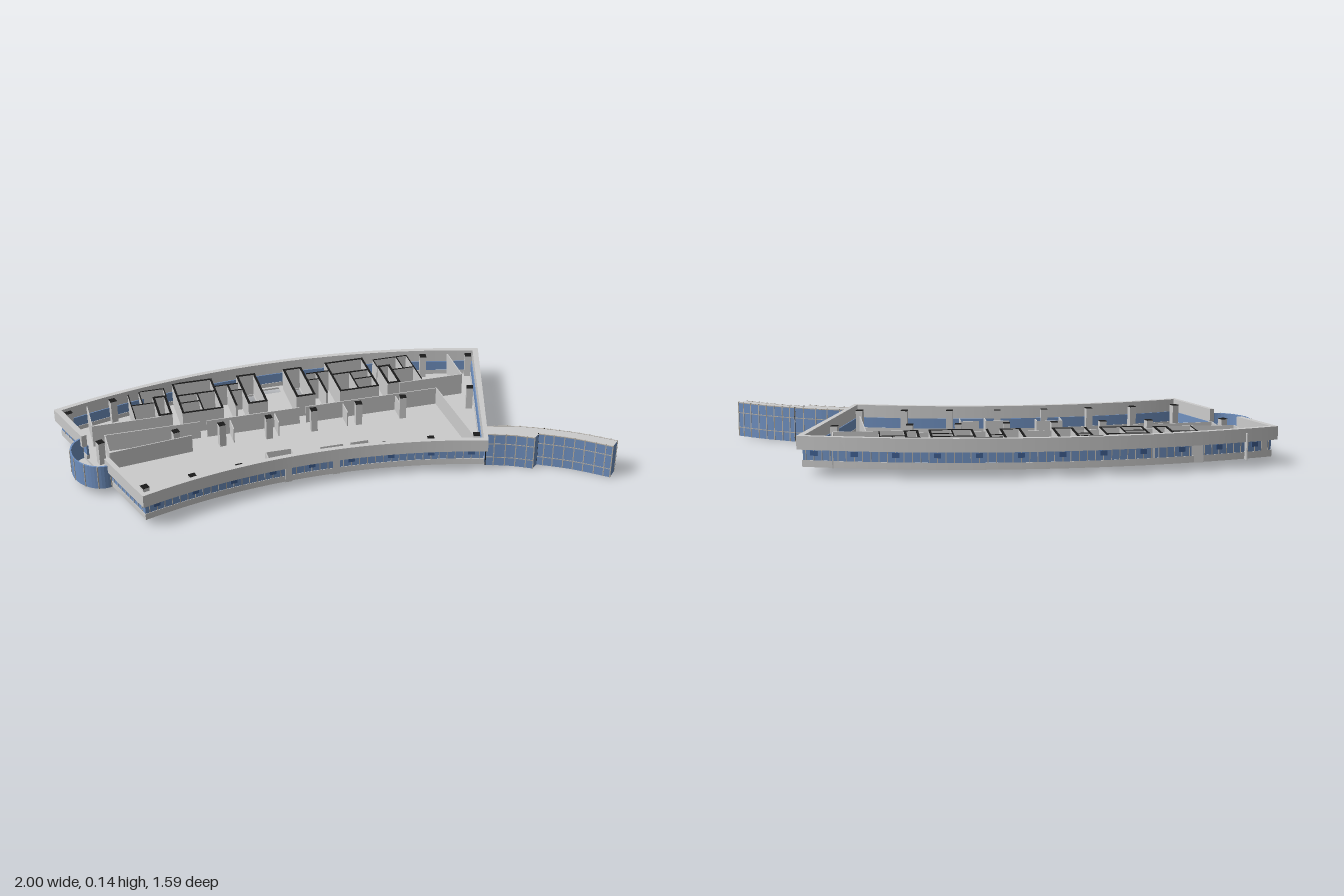
import * as THREE from 'three';

const mat = (color) => new THREE.MeshStandardMaterial({ color });
const grey = mat(0xcccccc), glass = mat(0x6f90c0), darkGlass = mat(0x3f5f92);
const black = mat(0x1a1a1a), frame = mat(0xb5b0a8), tan = mat(0xb8aea0), lilac = mat(0xd2c8d2);

// Plan coordinates (u, v): v points to the outer arc, which is concentric with the inner one.
const CU = -0.115, CV = -2.342, R0 = 2.14, R1 = 2.87;
const A0 = 72.9 * Math.PI / 180, A1 = 108.8 * Math.PI / 180;
const MID = -0.155;
const polar = (r, a) => new THREE.Vector2(CU + r * Math.cos(a), CV + r * Math.sin(a));

function sector(r0, r1, a0, a1) {
  const s = new THREE.Shape();
  s.absarc(CU, CV, r1, a0, a1, false);
  s.absarc(CU, CV, r0, a1, a0, true);
  s.closePath();
  return s;
}

// Plan shape extruded from height y0 to y1
function slab(parent, name, shape, y0, y1, material, segments = 40) {
  const g = new THREE.ExtrudeGeometry(shape, { depth: y1 - y0, bevelEnabled: false, curveSegments: segments });
  g.rotateX(-Math.PI / 2).translate(0, y0, 0);
  const m = new THREE.Mesh(g, material);
  m.name = name;
  parent.add(m);
  return m;
}

function box(parent, name, u, v, y0, y1, w, d, angle, material) {
  const m = new THREE.Mesh(new THREE.BoxGeometry(w, y1 - y0, d), material);
  m.position.set(u, (y0 + y1) / 2, -v);
  m.rotation.y = angle;
  m.name = name;
  parent.add(m);
}

// Straight wall between two plan points, with a dark cut top when it is structural
function wall(parent, name, u0, v0, u1, v1, t, top, capped) {
  const len = Math.hypot(u1 - u0, v1 - v0) + t, a = Math.atan2(v1 - v0, u1 - u0);
  const u = (u0 + u1) / 2, v = (v0 + v1) / 2;
  box(parent, name, u, v, 0.03, top, len, t, a, grey);
  if (capped) box(parent, name + 'Top', u, v, top, top + 0.002, len, t, a, black);
}

function room(parent, name, u0, u1, v0, v1, t) {
  wall(parent, name, u0, v0, u1, v0, t, 0.128, true);
  wall(parent, name, u0, v1, u1, v1, t, 0.128, true);
  wall(parent, name, u0, v0, u0, v1, t, 0.128, true);
  wall(parent, name, u1, v0, u1, v1, t, 0.128, true);
}

function rect(u0, u1, v0, v1, C = THREE.Shape) {
  return new C([[u0, v0], [u1, v0], [u1, v1], [u0, v1]].map((p) => new THREE.Vector2(...p)));
}

// Ring of walls, left open where the bay joins
function perimeter(parent, name, inset, t, y0, y1, material) {
  const r0 = R0 + inset, r1 = R1 - inset, da = inset / 2.5, ta = t / 2.5;
  const a0 = A0 + da, a1 = A1 - da;
  slab(parent, name, sector(r1 - t, r1, a0, a1), y0, y1, material);
  slab(parent, name, sector(r0, r0 + t, a0, a1), y0, y1, material);
  slab(parent, name, sector(r0 + t, r1 - t, a0, a0 + ta), y0, y1, material, 2);
  slab(parent, name, sector(r0 + t, 2.44, a1 - ta, a1), y0, y1, material, 2);
  slab(parent, name, sector(2.63, r1 - t, a1 - ta, a1), y0, y1, material, 2);
}

function facade(g) {
  perimeter(g, 'sill', 0.014, 0.012, 0.03, 0.055, grey);
  perimeter(g, 'glazing', 0.016, 0.008, 0.055, 0.095, glass);
  perimeter(g, 'parapet', 0, 0.02, 0.095, 0.145, grey);
  // mullions and vents along both arcs
  for (const [r, n] of [[R1 - 0.016, 60], [R0 + 0.016, 44]]) {
    for (let i = 1; i < n; i++) {
      const a = A0 + (A1 - A0) * i / n, p = polar(r, a);
      box(g, 'mullion', p.x, p.y, 0.055, 0.095, 0.003, 0.004, a - Math.PI / 2, frame);
      if (i % 5 === 2) box(g, 'vent', p.x, p.y, 0.072, 0.09, 0.026, 0.005, a - Math.PI / 2, darkGlass);
    }
  }
  // mullions and vents on the two straight ends
  for (const a of [A0 + 0.0064, A1 - 0.0064]) {
    for (let r = R0 + 0.04, i = 0; r < R1 - 0.02; r += 0.032, i++) {
      if (a > 1.6 && r > 2.43 && r < 2.64) continue;
      const p = polar(r, a);
      box(g, 'mullion', p.x, p.y, 0.055, 0.095, 0.004, 0.003, a, frame);
      if (i % 5 === 2) box(g, 'vent', p.x, p.y, 0.072, 0.09, 0.026, 0.005, a, darkGlass);
    }
  }
}

// Half-oval glazed bay on the left end
function bay(g) {
  const c = polar(2.535, A1 - 0.004), n = 24;
  const at = (k, t) => new THREE.Vector2(
    c.x + k * (0.118 * Math.cos(t) * Math.cos(A1) - 0.09 * Math.sin(t) * Math.sin(A1)),
    c.y + k * (0.118 * Math.cos(t) * Math.sin(A1) + 0.09 * Math.sin(t) * Math.cos(A1)));
  const arc = (k) => Array.from({ length: n + 1 }, (_, i) => at(k, Math.PI * i / n));
  slab(g, 'bayFloor', new THREE.Shape(arc(0.99)), 0.03, 0.037, grey);
  slab(g, 'bayGlazing', new THREE.Shape([...arc(1), ...arc(0.94).reverse()]), 0.03, 0.125, glass);
  for (let i = 0; i <= n; i += 4) {
    const p = at(1, Math.PI * i / n);
    box(g, 'bayMullion', p.x, p.y, 0.03, 0.126, 0.004, 0.004, A1, frame);
  }
}

function interior(g) {
  const mirror = (u) => 2 * MID - u;
  // floor with open shafts
  const floor = sector(R0 + 0.016, R1 - 0.016, A0 + 0.006, A1 - 0.006);
  const holes = [[0.095, 0.155, 0.25, 0.37], [0.17, 0.235, 0.25, 0.31], [0.17, 0.235, 0.325, 0.37],
    [-0.085, -0.03, 0.255, 0.46], [-0.005, 0.07, 0.42, 0.475]];
  for (const [a, b, c, d] of holes) {
    floor.holes.push(rect(a, b, c, d, THREE.Path), rect(mirror(b), mirror(a), c, d, THREE.Path));
  }
  floor.holes.push(rect(-0.2, -0.11, 0.45, 0.49, THREE.Path));
  slab(g, 'floor', floor, 0.03, 0.037, grey);

  // service cores, mirrored about the middle
  for (const f of [(u) => u, mirror]) {
    const w = (a, b, c, d, t, cap = true) => wall(g, 'coreWall', f(a), b, f(c), d, t, 0.128, cap);
    room(g, 'stairCore', f(0.087), f(0.243), 0.242, 0.475, 0.008);
    w(0.087, 0.378, 0.243, 0.378, 0.007);
    w(0.162, 0.242, 0.162, 0.378, 0.005);
    w(0.162, 0.318, 0.243, 0.318, 0.005);
    room(g, 'shaftCore', f(-0.092), f(-0.022), 0.246, 0.468, 0.009);
    w(-0.022, 0.36, 0.03, 0.36, 0.004);
    w(0.03, 0.246, 0.03, 0.41, 0.008);
    w(-0.01, 0.412, 0.085, 0.412, 0.005);
    room(g, 'liftCore', f(0.29), f(0.335), 0.25, 0.39, 0.009);
    w(0.285, 0.45, 0.43, 0.45, 0.004);
    w(0.43, 0.25, 0.43, 0.45, 0.004);
    w(0.335, 0.35, 0.43, 0.35, 0.004);
    w(0.385, 0.35, 0.385, 0.45, 0.004);
    w(0.285, 0.39, 0.285, 0.45, 0.004);
    w(0.6, 0.24, 0.6, 0.43, 0.004, false);
    w(0.335, 0.24, 0.6, 0.24, 0.004, false);
    slab(g, 'stairFloor', rect(...[f(0.09), f(0.24)].sort((a, b) => a - b), 0.38, 0.47), 0.036, 0.04, tan);
    slab(g, 'stairFlight', rect(...[f(0.12), f(0.21)].sort((a, b) => a - b), 0.41, 0.445), 0.04, 0.07, tan);
    slab(g, 'liftFloor', rect(...[f(0.294), f(0.331)].sort((a, b) => a - b), 0.255, 0.385), 0.036, 0.04, lilac);
    slab(g, 'washroomFloor', rect(...[f(0.34), f(0.428)].sort((a, b) => a - b), 0.3, 0.448), 0.036, 0.039, lilac);
  }

  // corridor partitions and meeting pods
  const partitions = [[-0.87, 0.19, -0.5, 0.19], [-0.47, 0.19, -0.1, 0.19], [-0.07, 0.19, 0.474, 0.19],
    [0.474, 0.19, 0.495, -0.2], [-0.87, 0.19, -0.87, 0.06], [-0.87, 0.06, -0.55, 0.1]];
  for (const p of partitions) wall(g, 'partition', ...p, 0.004, 0.11, false);
  const pods = [[-0.3, -0.08, -0.2, -0.08], [-0.3, -0.08, -0.3, -0.16], [-0.2, -0.08, -0.2, -0.13],
    [-0.09, -0.1, 0.0, -0.1], [0.0, -0.1, 0.0, -0.17], [0.03, -0.1, 0.1, -0.1], [0.1, -0.1, 0.1, -0.16],
    [-0.38, 0.12, -0.38, 0.19], [-0.2, 0.12, -0.2, 0.19], [0.08, 0.12, 0.08, 0.19], [0.3, 0.12, 0.3, 0.19]];
  for (const p of pods) wall(g, 'pod', ...p, 0.004, 0.1, false);

  // columns, placed by x and z
  const columns = [[0.21, -0.75], [0.05, -0.65], [0.33, -0.51], [0.13, -0.31], [0, -0.18], [-0.13, -0.05],
    [-0.255, 0.085], [-0.385, 0.22], [-0.51, 0.35], [-0.715, 0.555], [-0.955, 0.44], [-0.86, 0.28],
    [-0.39, 0.72], [-0.28, 0.575], [-0.165, 0.435], [-0.04, 0.3], [0.09, 0.165], [0.23, 0.035],
    [0.365, -0.085], [0.505, -0.195]];
  for (const [x, z] of columns) {
    const u = (x - z) * Math.SQRT1_2, v = -(x + z) * Math.SQRT1_2, a = Math.atan2(v - CV, u - CU);
    box(g, 'column', u, v, 0.03, 0.13, 0.026, 0.026, a, grey);
    box(g, 'columnTop', u, v, 0.13, 0.132, 0.026, 0.026, a, black);
  }
}

// Curved glazed link: two stretches, each given by its back and front edge in x and z
function bridge(root) {
  const g = new THREE.Group();
  g.name = 'bridge';
  const parts = [
    [[[0.515, -0.25], [0.61, -0.305], [0.72, -0.346]], [[0.545, -0.2], [0.63, -0.24], [0.715, -0.266]], 5],
    [[[0.72, -0.346], [0.85, -0.38], [0.995, -0.4]], [[0.715, -0.3], [0.85, -0.335], [0.995, -0.353]], 8]];
  for (const [back, front, n] of parts) {
    const line = (e) => new THREE.SplineCurve(e.map(([x, z]) => new THREE.Vector2(x, -z))).getPoints(12);
    const b = line(back), f = line(front);
    slab(g, 'bridgeGlazing', new THREE.Shape([...f, ...b.slice().reverse()]), 0, 0.138, [grey, glass]);
    for (const e of [b, f]) {
      const curve = new THREE.SplineCurve(e);
      for (let i = 0; i <= n; i++) {
        const p = curve.getPoint(i / n), t = curve.getTangent(i / n);
        box(g, 'bridgeMullion', p.x, p.y, 0, 0.141, 0.004, 0.004, Math.atan2(t.y, t.x), i === 0 ? black : frame);
      }
      for (let i = 0; i < 12; i++) {
        const p = e[i], q = e[i + 1], a = Math.atan2(q.y - p.y, q.x - p.x);
        for (const y of [0.035, 0.095, 0.136]) {
          box(g, 'bridgeRail', (p.x + q.x) / 2, (p.y + q.y) / 2, y, y + 0.003, p.distanceTo(q), 0.003, a, frame);
        }
      }
    }
  }
  root.add(g);
}

export function createModel() {
  const root = new THREE.Group();
  root.name = 'officeFloor';
  const storey = new THREE.Group();
  storey.name = 'storey';
  storey.rotation.y = Math.PI / 4;
  facade(storey);
  bay(storey);
  interior(storey);
  root.add(storey);
  bridge(root);
  return root;
}
